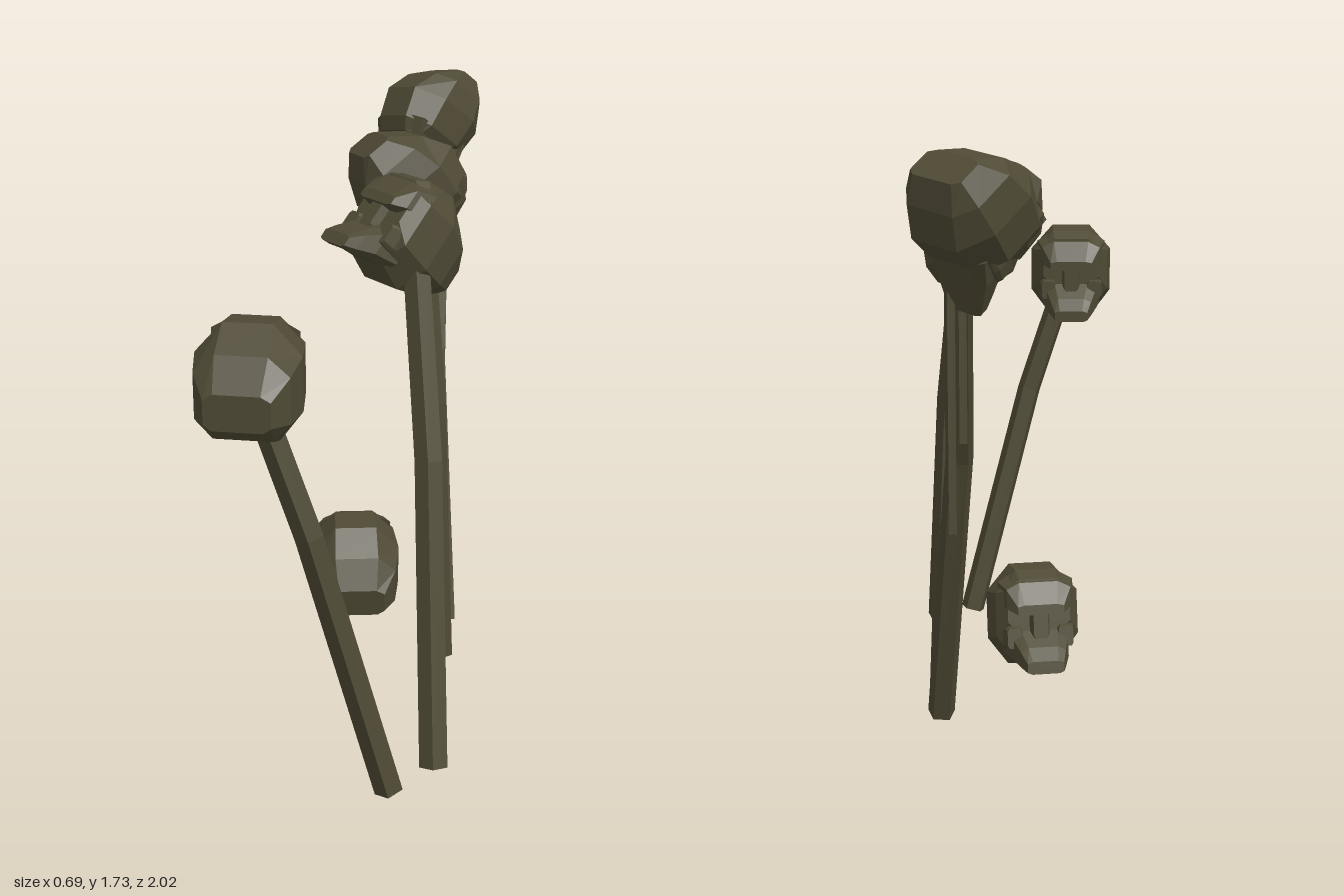
import * as THREE from 'three';

const material = new THREE.MeshStandardMaterial({ color: 0x4f4a35, flatShading: true });

// Solid from eight-sided sections along z: [z, bottom, top, half width, corner cut]
function loft(name, sections, x = 0) {
  const pos = [], idx = [], n = 8;
  for (const [z, y0, y1, w, cut] of sections) {
    const cy = (y0 + y1) / 2, h = (y1 - y0) / 2, a = w * (1 - cut), b = h * (1 - cut);
    const low = (a + w * 0.2) / 1.2;
    for (const [px, py] of [[w, -b], [w, b], [a, h], [-a, h], [-w, b], [-w, -b], [-low, -h], [low, -h]]) {
      pos.push(x + px, cy + py, z);
    }
  }
  const last = (sections.length - 1) * n;
  for (let r = 0; r < last; r += n) {
    for (let j = 0; j < n; j++) {
      const k = (j + 1) % n;
      idx.push(r + j, r + k, r + n + k, r + j, r + n + k, r + n + j);
    }
  }
  for (let j = 1; j < n - 1; j++) {
    idx.push(0, j + 1, j, last, last + j, last + j + 1);
  }
  const geo = new THREE.BufferGeometry();
  geo.setAttribute('position', new THREE.Float32BufferAttribute(pos, 3));
  geo.setIndex(idx);
  geo.computeVertexNormals();
  const mesh = new THREE.Mesh(geo, material);
  mesh.name = name;
  return mesh;
}

// Skull facing +z, centred on its origin
function skull(name, position, yaw, pitch = 0, roll = 0) {
  const g = new THREE.Group();
  g.name = name;
  g.add(loft('cranium', [
    [-0.187, -0.075, 0.02, 0.085, 0.3],
    [-0.125, -0.12, 0.1, 0.122, 0.45],
    [-0.04, -0.15, 0.157, 0.137, 0.53],
    [0.06, -0.12, 0.145, 0.125, 0.5],
    [0.1, -0.04, 0.12, 0.095, 0.4],
  ]));
  g.add(loft('brow', [
    [0.05, 0.01, 0.14, 0.115, 0.45],
    [0.105, 0.015, 0.11, 0.098, 0.4],
    [0.138, 0.015, 0.045, 0.07, 0.3],
  ]));
  g.add(loft('upperJaw', [
    [0.03, -0.125, -0.01, 0.1, 0.35],
    [0.1, -0.135, -0.035, 0.086, 0.35],
    [0.15, -0.15, -0.08, 0.068, 0.35],
    [0.183, -0.155, -0.118, 0.055, 0.3],
  ]));
  g.add(loft('noseBridge', [
    [0.07, -0.07, 0.05, 0.04, 0.3],
    [0.125, -0.06, 0.03, 0.022, 0.3],
  ]));
  for (const s of [1, -1]) {
    g.add(loft('cheekbone', [
      [0.0, -0.09, -0.015, 0.028, 0.3],
      [0.075, -0.09, -0.01, 0.03, 0.3],
      [0.112, -0.085, -0.025, 0.022, 0.3],
    ], s * 0.078));
  }
  g.position.set(...position);
  g.rotation.set(pitch, yaw, roll, 'YXZ');
  return g;
}

// Stake through three points, slightly bent in the middle
function stake(name, points) {
  const p = points.map((a) => new THREE.Vector3(...a));
  const geo = new THREE.CylinderGeometry(0.039, 0.042, 2, 5, 2);
  const up = new THREE.Vector3(0, 1, 0), v = new THREE.Vector3(), att = geo.attributes.position;
  const turns = p.map((_, i) => new THREE.Quaternion().setFromUnitVectors(up,
    p[Math.min(i + 1, 2)].clone().sub(p[Math.max(i - 1, 0)]).normalize()));
  for (let i = 0; i < att.count; i++) {
    const k = Math.round(att.getY(i) + 1);
    v.set(att.getX(i), 0, att.getZ(i)).applyQuaternion(turns[k]).add(p[k]);
    att.setXYZ(i, v.x, v.y, v.z);
  }
  geo.computeVertexNormals();
  const mesh = new THREE.Mesh(geo, material);
  mesh.name = name;
  return mesh;
}

export function createModel() {
  const model = new THREE.Group();
  model.name = 'skullStakes';

  // Stakes
  model.add(
    stake('frontStake', [[0.14, 0.035, 0.79], [-0.067, 0.83, 0.843], [-0.18, 1.17, 0.845]]),
    stake('middleStake', [[0.26, 0.045, 0.685], [0.225, 0.87, 0.425], [0.175, 1.42, 0.232]]),
    stake('centreStake', [[0.26, 0.01, -0.015], [0.225, 0.87, -0.03], [0.18, 1.42, -0.065]]),
    stake('rearStake', [[0.265, 0.03, -0.21], [0.21, 0.88, -0.49], [0.215, 1.48, -0.79]]),
  );

  // Skulls, four mounted and one low between the stakes
  model.add(
    skull('frontSkull', [-0.21, 1.25, 0.81], Math.PI - 0.08),
    skull('middleSkull', [0.13, 1.46, 0.17], -0.87, -0.73),
    skull('centreSkull', [0.145, 1.51, -0.14], 1.85, 0.95, -0.15),
    skull('rearSkull', [0.17, 1.565, -0.835], -0.58, 0.9, 0.25),
    skull('lowSkull', [-0.02, 0.295, -0.095], Math.PI + 0.12, -0.2),
  );

  // Thin cords hanging from the rear skull
  for (const [x, y, z] of [[0.205, 0.98, -0.76], [0.235, 0.75, -0.8]]) {
    const length = 1.5 - y;
    const cord = new THREE.Mesh(new THREE.BoxGeometry(0.02, length, 0.02), material);
    cord.position.set(x, y + length / 2, z);
    cord.name = 'hangingCord';
    model.add(cord);
  }
  return model;
}
